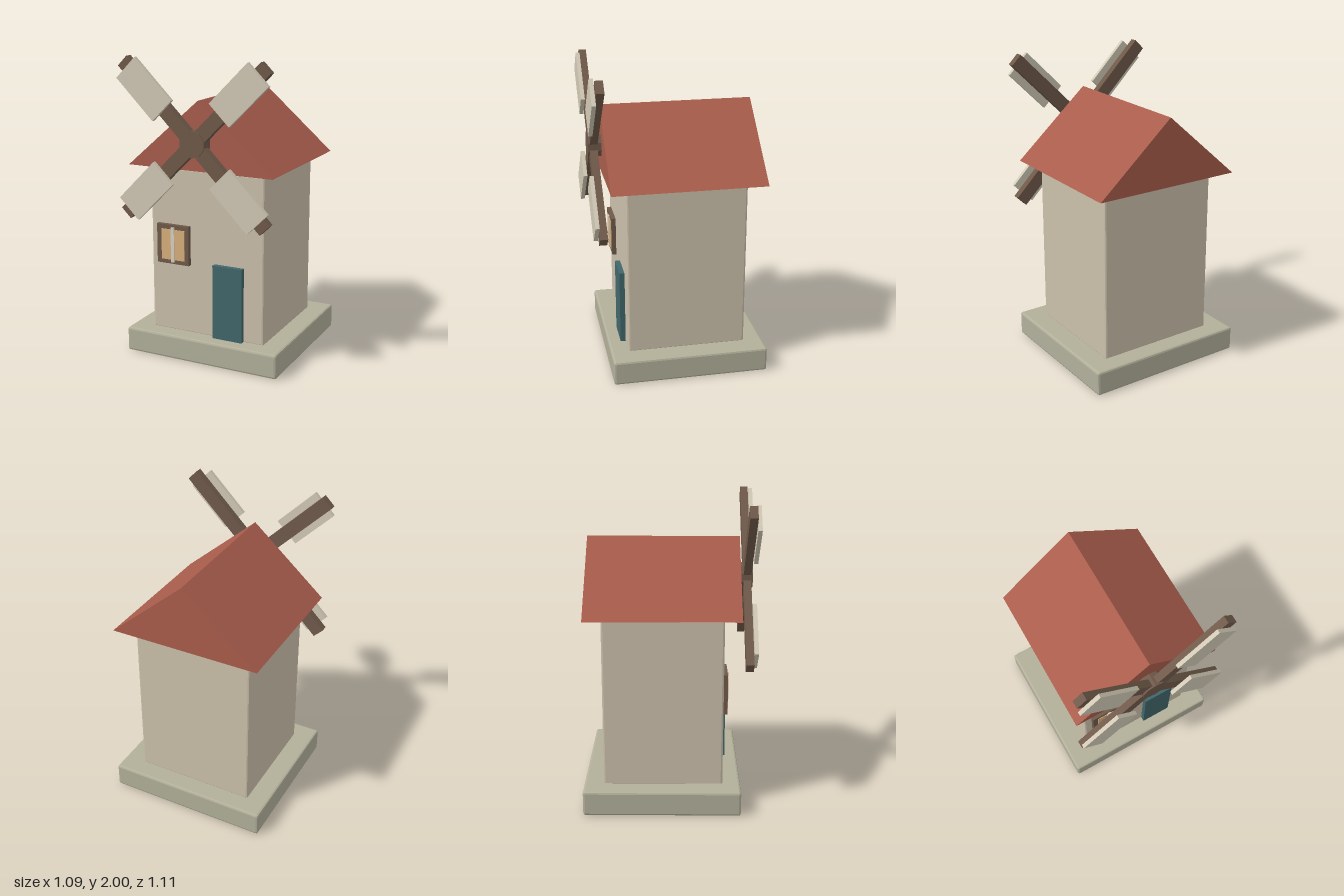
import * as THREE from 'three';
import { RoundedBoxGeometry } from 'three/addons/geometries/RoundedBoxGeometry.js';

const paint = (color) => new THREE.MeshStandardMaterial({ color, flatShading: true });

export function createModel() {
  const model = new THREE.Group();
  model.name = 'windmill';
  const stone = paint(0xb2b09a), plaster = paint(0xcbc0ab), tile = paint(0xa95d4c);
  const wood = paint(0x6f5a4a), canvas = paint(0xd2cab6), teal = paint(0x41676a);
  const glow = paint(0xd8b07c), trim = paint(0xd9d2c4);

  const add = (parent, name, geometry, material) => {
    const mesh = new THREE.Mesh(geometry, material);
    mesh.name = name;
    parent.add(mesh);
    return mesh;
  };
  // Box given by its extents on each axis; a bevel chamfers its edges
  const box = (parent, name, material, [x0, x1], [y0, y1], [z0, z1], bevel = 0) => {
    const size = [x1 - x0, y1 - y0, z1 - z0];
    const geometry = bevel
      ? new RoundedBoxGeometry(...size, 1, bevel)
      : new THREE.BoxGeometry(...size);
    const mesh = add(parent, name, geometry, material);
    mesh.position.set((x0 + x1) / 2, (y0 + y1) / 2, (z0 + z1) / 2);
    return mesh;
  };

  // Plinth and tower
  box(model, 'base', stone, [-0.547, 0.547], [0, 0.164], [-0.557, 0.467], 0.014);
  box(model, 'tower', plaster, [-0.407, 0.407], [0.155, 1.275], [-0.43, 0.35], 0.012);

  // Gable roof, a triangular prism running front to back
  const gable = new THREE.Shape();
  gable.moveTo(-0.507, 1.292);
  gable.lineTo(0.507, 1.292);
  gable.lineTo(0, 1.736);
  gable.closePath();
  const roof = add(model, 'roof',
    new THREE.ExtrudeGeometry(gable, { depth: 0.993, bevelEnabled: false }), tile);
  roof.position.z = -0.538;

  // Door
  box(model, 'door', teal, [0.058, 0.267], [0.16, 0.664], [0.34, 0.384]);

  // Window: frame, lit pane and centre bar
  const win = new THREE.Group();
  win.name = 'window';
  model.add(win);
  box(win, 'windowFrame', wood, [-0.352, -0.118], [0.632, 0.897], [0.34, 0.378]);
  box(win, 'windowPane', glow, [-0.318, -0.148], [0.66, 0.867], [0.35, 0.382]);
  box(win, 'windowBar', trim, [-0.246, -0.222], [0.645, 0.882], [0.35, 0.387]);

  // Rotor: hub with four crossed arms carrying sail panels
  const rotor = new THREE.Group();
  rotor.name = 'rotor';
  rotor.position.y = 1.477;
  model.add(rotor);
  const hub = add(rotor, 'hub', new THREE.CylinderGeometry(0.087, 0.087, 0.1, 10), wood);
  hub.rotation.x = Math.PI / 2;
  hub.position.z = 0.491;
  for (let i = 0; i < 4; i++) {
    const blade = new THREE.Group();
    blade.name = 'blade' + (i + 1);
    blade.rotation.z = Math.PI / 4 + i * Math.PI / 2;
    rotor.add(blade);
    box(blade, 'arm', wood, [0.066, 0.691], [-0.045, 0.045], [0.481, 0.531]);
    box(blade, 'sail', canvas, [0.277, 0.637], [-0.095, 0.095], [0.531, 0.557]);
  }

  return model;
}
